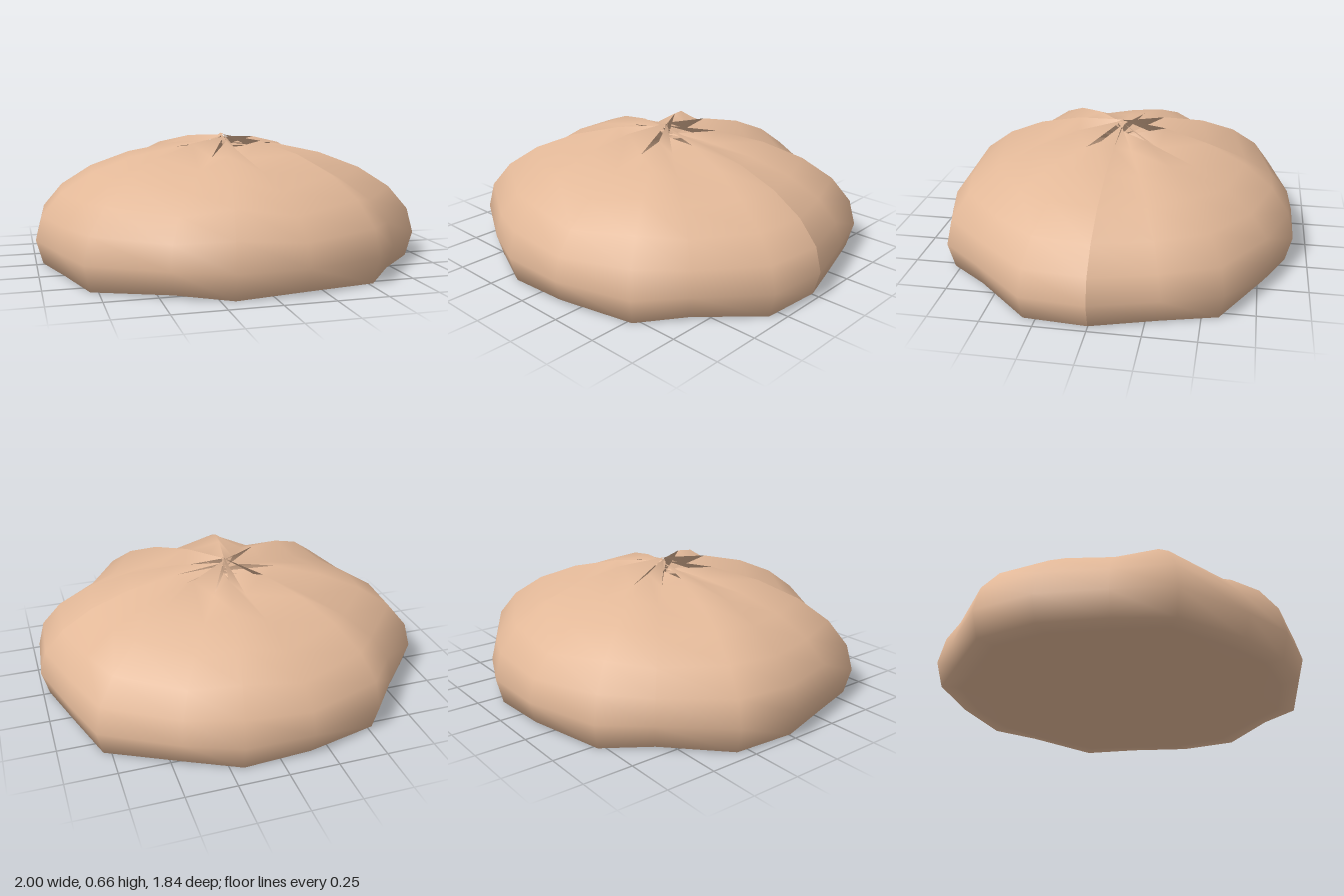
import * as THREE from 'three';

const COLUMNS = 18, ROWS = 12;   // low sphere grid the bun is shaped from
const WAIST = 0.13, DOME = 0.48; // height of the widest ring, rise above it
const DEPTH = 0.934, PLEAT = 0.1;

// Squashed sphere with eight twisted pleats and a flat base
function pleatedBun() {
  const geometry = new THREE.SphereGeometry(1, COLUMNS, ROWS);
  const position = geometry.attributes.position;
  for (let row = 0; row <= ROWS; row++) {
    const polar = (row / ROWS) * Math.PI;
    const radius = Math.sin(polar);
    for (let column = 0; column <= COLUMNS; column++) {
      const angle = -(column / COLUMNS) * Math.PI * 2;
      const pleat = 1 + PLEAT * Math.sin(8 * angle);
      position.setXYZ(
        row * (COLUMNS + 1) + column,
        radius * Math.cos(angle) * pleat,
        Math.max(0, WAIST + DOME * Math.cos(polar) * pleat),
        radius * Math.sin(angle) * DEPTH
      );
    }
  }
  geometry.computeVertexNormals();
  return geometry;
}

export function createModel() {
  const dough = new THREE.MeshStandardMaterial({ color: 0xe2b898, side: THREE.DoubleSide });
  dough.name = 'dough';

  const bun = new THREE.Mesh(pleatedBun(), dough);
  bun.name = 'pleatedBun';

  const model = new THREE.Group();
  model.name = 'steamedBun';
  model.add(bun);
  return model;
}
